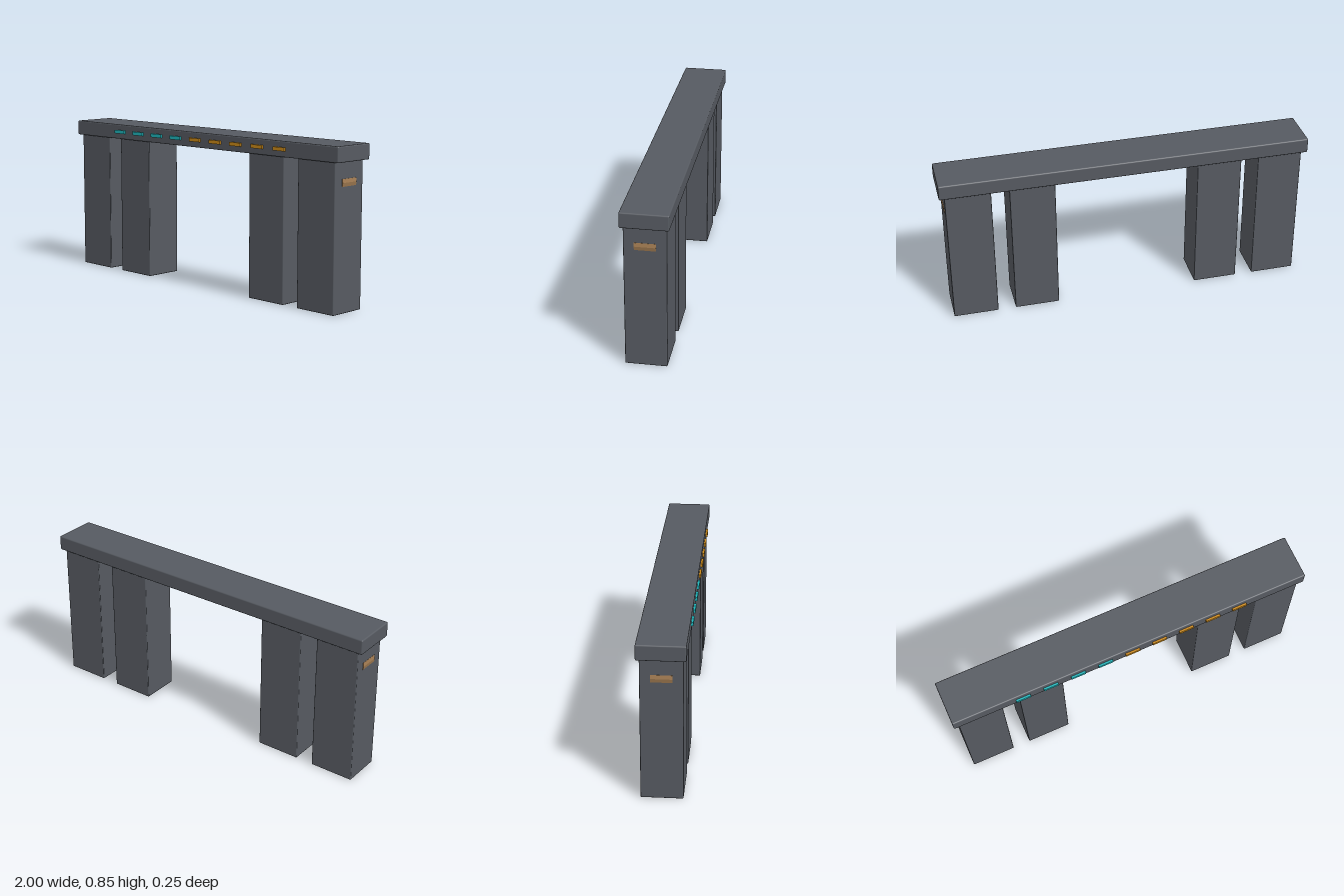
import * as THREE from 'three';
import { RoundedBoxGeometry } from 'three/addons/geometries/RoundedBoxGeometry.js';

const material = (name, color) => {
  const m = new THREE.MeshStandardMaterial({ color });
  m.name = name;
  return m;
};

export function createModel() {
  const slate = material('slate grey', 0x565a61);
  const teal = material('teal light', 0x1fb6bc);
  const amber = material('amber light', 0xcc8a18);
  const bronze = material('bronze', 0xa07a50);

  const group = new THREE.Group();
  group.name = 'pillarBridge';
  const add = (name, geometry, mat, x, y, z) => {
    const mesh = new THREE.Mesh(geometry, mat);
    mesh.name = name;
    mesh.position.set(x, y, z);
    group.add(mesh);
    return mesh;
  };

  // Deck slab with softened edges
  add('deck', new RoundedBoxGeometry(2, 0.082, 0.244, 2, 0.007), slate, 0, 0.809, -0.005);

  // Two pairs of square pillars
  const pillar = new RoundedBoxGeometry(0.243, 0.772, 0.214, 2, 0.005);
  for (const x of [-0.849, -0.51, 0.51, 0.849]) {
    add('pillar', pillar, slate, x, 0.386, -0.004);
  }

  // Row of indicator lights along the front edge of the deck
  const light = new THREE.BoxGeometry(0.08, 0.019, 0.014);
  for (let i = 0; i < 9; i++) {
    add(i < 4 ? 'tealLight' : 'amberLight', light, i < 4 ? teal : amber,
      (i - 4) * 0.1536, 0.809, 0.121);
  }

  // Shallow ridged plate on each outer pillar face
  const profile = new THREE.Shape();
  profile.moveTo(-0.01, -0.0195);
  profile.lineTo(0.001, -0.0195);
  profile.lineTo(0.005, 0);
  profile.lineTo(0.001, 0.0195);
  profile.lineTo(-0.01, 0.0195);
  const ridge = new THREE.ExtrudeGeometry(profile, { depth: 0.107, bevelEnabled: false });
  ridge.translate(0, 0, -0.0535);
  for (const side of [-1, 1]) {
    const plate = add('sidePlate', ridge, bronze, side * 0.9705, 0.6625, -0.004);
    if (side < 0) plate.rotation.y = Math.PI;
  }

  return group;
}
